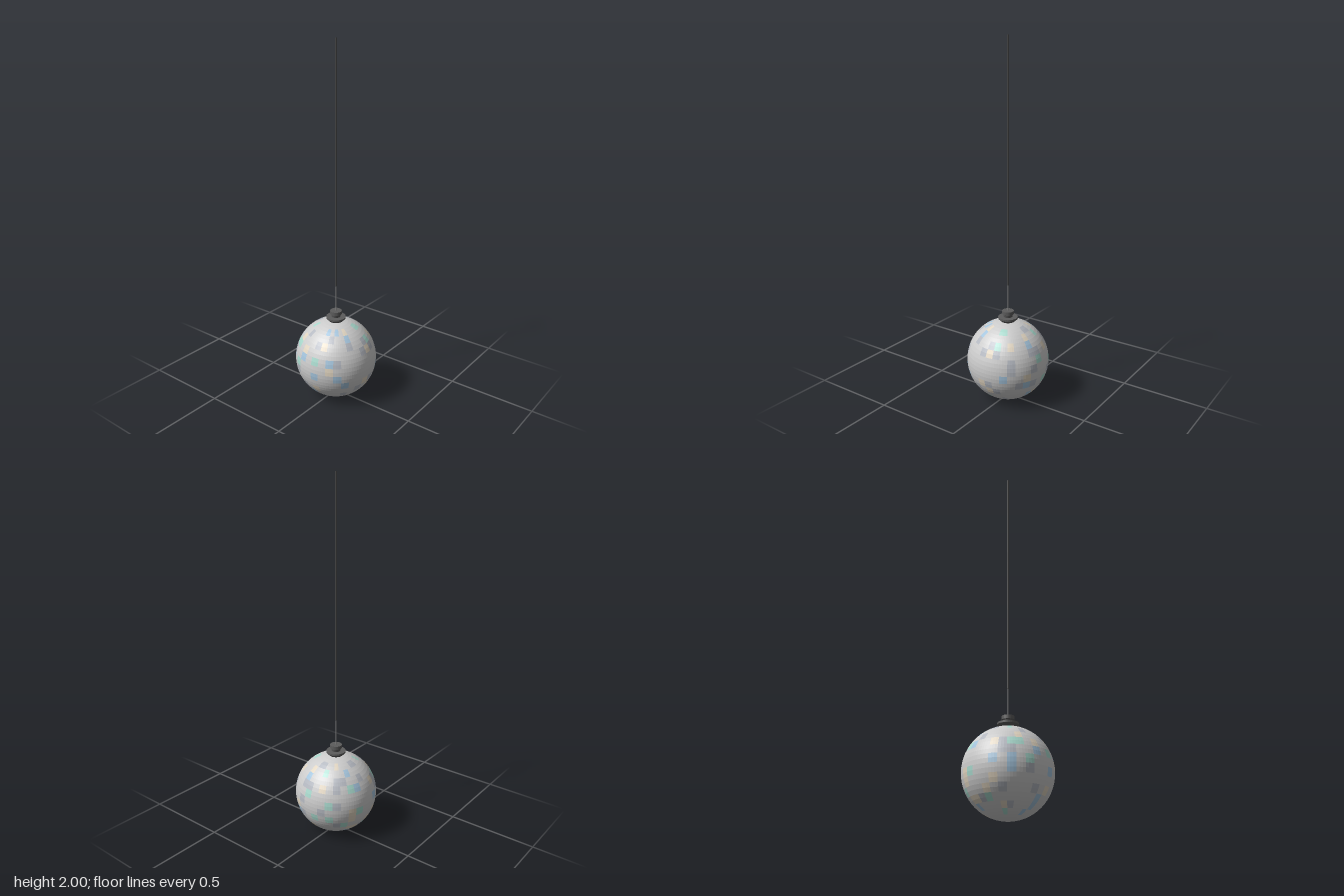
import * as THREE from 'three';
import { mergeGeometries } from 'three/addons/utils/BufferGeometryUtils.js';

const RADIUS = 0.231, COLS = 32, ROWS = 16;

function seededRandom(seed) {
  return () => {
    seed = (seed * 1664525 + 1013904223) % 4294967296;
    return seed / 4294967296;
  };
}

function add(group, name, geometry, color, flat = false) {
  const material = new THREE.MeshStandardMaterial({ color, flatShading: flat });
  const mesh = new THREE.Mesh(geometry, material);
  mesh.name = name;
  group.add(mesh);
  return mesh;
}

// Mirror ball: flat square facets, sorted by tint
function mirrorBall() {
  const ball = new THREE.Group();
  ball.name = 'mirrorBall';
  ball.position.y = RADIUS;
  const tints = [
    { name: 'silverTiles', color: 0xcccccc, upTo: 0.74 },
    { name: 'greyTiles', color: 0xb4b8c0, upTo: 0.84 },
    { name: 'warmTiles', color: 0xe0d4c0, upTo: 0.90 },
    { name: 'blueTiles', color: 0xa4c4dc, upTo: 0.95 },
    { name: 'greenTiles', color: 0xa8d8cc, upTo: 1 },
  ];
  const tiles = tints.map(() => []);
  const random = seededRandom(7);
  const dPhi = Math.PI * 2 / COLS, dTheta = Math.PI / ROWS;
  for (let row = 0; row < ROWS; row++) {
    const nearPole = row < 2 || row > ROWS - 3;
    for (let col = 0; col < COLS; col++) {
      const pick = nearPole ? 0 : random();
      const tint = tints.findIndex((t) => pick < t.upTo);
      tiles[tint].push(new THREE.SphereGeometry(
        RADIUS, 1, 1, col * dPhi, dPhi, row * dTheta, dTheta));
    }
  }
  tints.forEach((t, i) => add(ball, t.name, mergeGeometries(tiles[i]), t.color, true));
  return ball;
}

// Closed turned part from [radius, height] pairs, bottom to top
function turned(points, sides = 32) {
  const profile = points.map(([r, y]) => new THREE.Vector2(r, y));
  return new THREE.LatheGeometry(profile, sides);
}

function cord(radius, bottom, top) {
  return new THREE.CylinderGeometry(radius, radius, top - bottom, 12)
    .translate(0, (top + bottom) / 2, 0);
}

export function createModel() {
  const model = new THREE.Group();
  model.name = 'hangingMirrorBall';
  model.add(mirrorBall());

  // Hanger: flared collar on the ball with a rimmed knob above
  const dark = 0x5c5c5c;
  add(model, 'collar', turned(
    [[0, 0.45], [0.036, 0.456], [0.055, 0.474], [0.055, 0.484], [0, 0.484]]), dark, true);
  add(model, 'knob', turned(
    [[0, 0.482], [0.024, 0.482], [0.028, 0.497], [0.033, 0.5], [0.033, 0.52], [0, 0.52]]), dark, true);

  // Thin wire running up into the thicker cord
  add(model, 'wire', cord(0.003, 0.515, 0.67), 0x888888);
  add(model, 'cord', cord(0.0052, 0.67, 2), 0x444444);
  return model;
}
